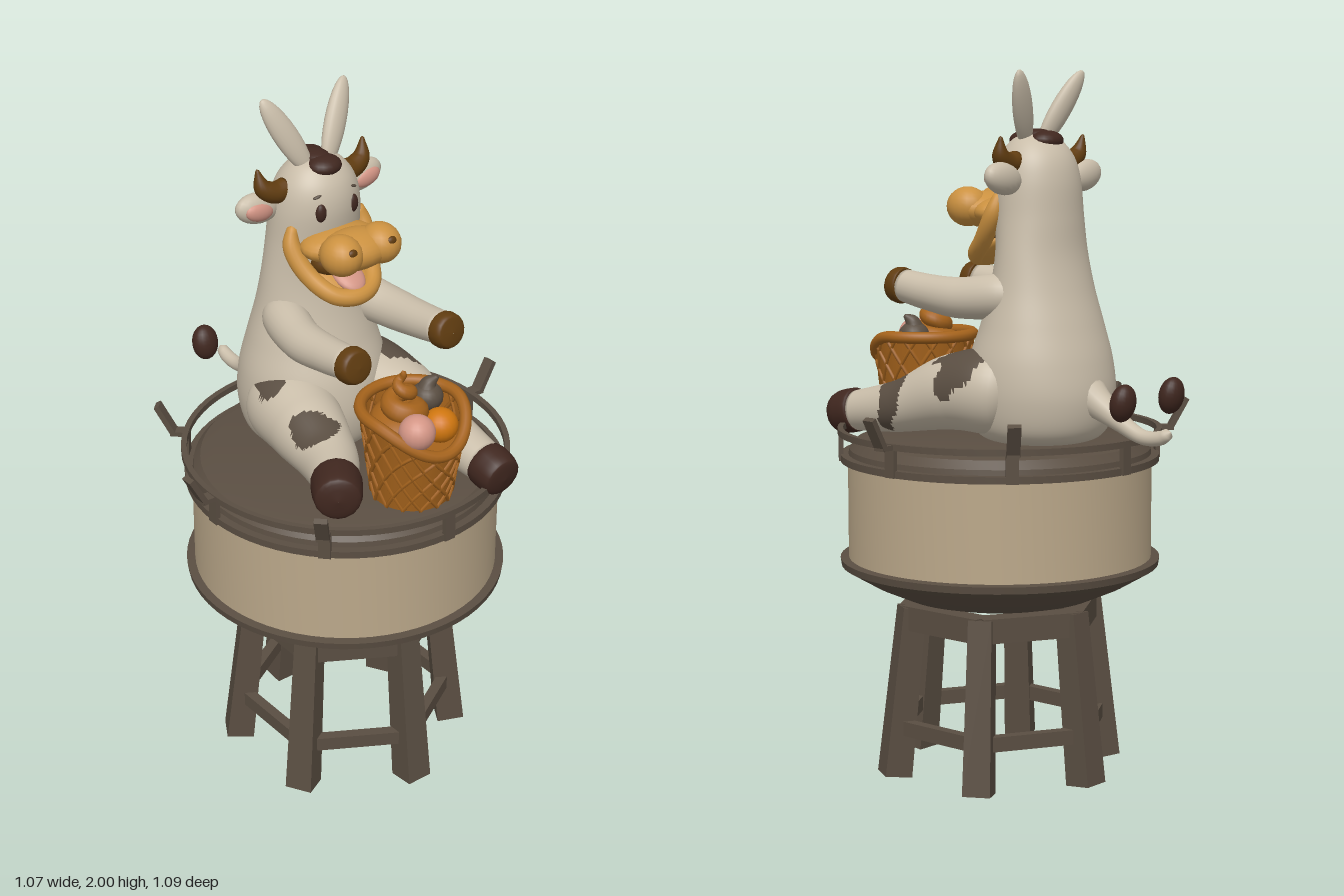
import * as THREE from 'three';
import { mergeVertices, toCreasedNormals } from 'three/addons/utils/BufferGeometryUtils.js';

const V = (x, y, z) => new THREE.Vector3(x, y, z);
const mat = (name, color, side = THREE.FrontSide) => {
  const m = new THREE.MeshStandardMaterial({ color, side });
  m.name = name;
  return m;
};

export function createModel() {
  const root = new THREE.Group();
  const hide = mat('cream hide', 0xc9bda9), drumCream = mat('drum cream', 0xbba88a);
  const dark = mat('dark grey brown', 0x5a4e42), hoof = mat('hoof brown', 0x40271f);
  const horn = mat('horn brown', 0x603c10), tan = mat('muzzle tan', 0xcb9140);
  const waffle = mat('waffle', 0xa5631c, THREE.DoubleSide), pink = mat('pink', 0xd39585);
  const orange = mat('orange', 0xcf760f);

  const add = (name, geo, m, parent = root) => {
    const mesh = new THREE.Mesh(geo, m);
    mesh.name = name;
    parent.add(mesh);
    return mesh;
  };
  const smooth = (g) => {
    g.deleteAttribute('uv');
    g.deleteAttribute('normal');
    const out = mergeVertices(g, 1e-5);
    out.computeVertexNormals();
    return out;
  };
  const lathe = (pts) => toCreasedNormals(
    new THREE.LatheGeometry(pts.map((p) => new THREE.Vector2(p[0], p[1])), 64), 0.5);
  const ball = (name, m, p, s) => {
    const b = add(name, new THREE.SphereGeometry(1, 20, 14), m);
    b.position.set(...p);
    b.scale.set(...s);
    return b;
  };
  // Tube through [x, y, z, radius] points, with closed ends
  const limb = (pts, seg = 28, sides = 18) => {
    const curve = new THREE.CatmullRomCurve3(pts.map((p) => V(p[0], p[1], p[2])));
    const radius = new THREE.CatmullRomCurve3(pts.map((p) => V(p[3], 0, 0)), false, 'catmullrom', 0.4);
    const g = new THREE.TubeGeometry(curve, seg, 1, sides);
    const pos = g.attributes.position, v = V(0, 0, 0);
    for (let i = 0; i <= seg; i++) {
      const u = i / seg, c = curve.getPointAt(u);
      let r = Math.max(0.002, radius.getPoint(curve.getUtoTmapping(u)).x);
      if (i === 0 || i === seg) r = 0.0005;
      for (let j = 0; j <= sides; j++) {
        const k = i * (sides + 1) + j;
        v.fromBufferAttribute(pos, k).sub(c).multiplyScalar(r).add(c);
        pos.setXYZ(k, v.x, v.y, v.z);
      }
    }
    return smooth(g);
  };
  // Hide patches: ellipsoids [x, y, z, rx, ry, rz] that mark the faces inside them
  const patches = [
    [-0.24, 1.17, 0.13, 0.08, 0.1, 0.12], [-0.04, 1.23, 0.2, 0.085, 0.045, 0.1],
    [-0.14, 1.53, 0.13, 0.03, 0.06, 0.1], [-0.03, 1.45, 0.14, 0.06, 0.035, 0.08],
    [0.2, 1.17, 0.22, 0.06, 0.035, 0.1], [-0.13, 1.41, -0.15, 0.06, 0.085, 0.09],
    [0.03, 1.18, -0.2, 0.085, 0.1, 0.09], [0.27, 1.1, -0.22, 0.05, 0.1, 0.08],
    [-0.21, 1.24, -0.16, 0.04, 0.05, 0.08],
  ];
  const inPatch = (x, y, z) => patches.some((p) => {
    const d = Math.hypot((x - p[0]) / p[3], (y - p[1]) / p[4], (z - p[2]) / p[5]);
    return d < 1 + 0.16 * Math.sin(45 * x + 38 * y) + 0.1 * Math.sin(60 * y - 50 * x);
  });
  const paint = (name, g) => {
    const idx = g.index.array, pos = g.attributes.position, plain = [], spotted = [];
    for (let i = 0; i < idx.length; i += 3) {
      const t = [idx[i], idx[i + 1], idx[i + 2]];
      const mid = (f) => t.reduce((s, k) => s + pos[f](k), 0) / 3;
      (inPatch(mid('getX'), mid('getY'), mid('getZ')) ? spotted : plain).push(...t);
    }
    g.setIndex([...plain, ...spotted]);
    g.addGroup(0, plain.length, 0);
    if (spotted.length) g.addGroup(plain.length, spotted.length, 1);
    add(name, g, [hide, dark]);
  };

  // Stool and drum share one axis
  const stand = new THREE.Group();
  stand.name = 'stand';
  stand.position.x = 0.073;
  root.add(stand);
  for (let k = 0; k < 6; k++) {
    const spoke = new THREE.Group(), side = new THREE.Group();
    spoke.name = 'stoolLeg';
    side.name = 'stoolSide';
    spoke.rotation.y = k * Math.PI / 3;
    side.rotation.y = (k + 0.5) * Math.PI / 3;
    stand.add(spoke, side);
    const g = new THREE.CylinderGeometry(0.047, 0.056, 0.49, 4).rotateY(Math.PI / 4).toNonIndexed();
    g.computeVertexNormals();
    const leg = add('leg', g, dark, spoke);
    leg.position.set(0.293, 0.248, 0);
    leg.rotation.z = 0.11;
    add('topRail', new THREE.BoxGeometry(0.06, 0.07, 0.28), dark, side).position.set(0.235, 0.463, 0);
    add('stretcher', new THREE.BoxGeometry(0.03, 0.042, 0.31), dark, side).position.set(0.268, 0.145, 0);
  }
  add('bowl', lathe([[0, 0.5], [0.22, 0.5], [0.28, 0.515], [0.37, 0.555], [0.455, 0.605], [0.458, 0.625], [0.43, 0.628]]), dark, stand);
  add('drumWall', lathe([[0.434, 0.62], [0.434, 0.915]]), drumCream, stand);
  add('lowerRing', lathe([[0.43, 0.905], [0.455, 0.905], [0.455, 0.925], [0.43, 0.925]]), dark, stand);
  add('lid', lathe([[0.435, 0.91], [0.43, 0.94], [0.41, 0.963], [0.37, 0.973], [0, 0.978]]), dark, stand);
  add('upperRing', lathe([[0.447, 0.982], [0.463, 0.982], [0.463, 1], [0.447, 1], [0.447, 0.982]]), dark, stand);
  for (let k = 0; k < 8; k++) {
    const g = new THREE.Group();
    g.name = 'bracket';
    g.rotation.y = -k * Math.PI / 4;
    stand.add(g);
    add('post', new THREE.BoxGeometry(0.014, 0.09, 0.034), dark, g).position.set(0.453, 0.95, 0);
    if (k === 0 || k === 4 || k === 7) continue;
    add('stem', new THREE.BoxGeometry(0.05, 0.014, 0.034), dark, g).position.set(0.475, 0.99, 0);
    const prong = add('prong', new THREE.BoxGeometry(0.016, 0.1, 0.036), dark, g);
    prong.position.set(0.512, 1.03, 0);
    prong.rotation.z = -0.5;
  }

  // Body and head: oval sections [y, centre x, half depth, half width]
  const secs = [
    [0.972, -0.08, 0.002, 0.002], [0.975, -0.08, 0.13, 0.13], [1.01, -0.08, 0.185, 0.19], [1.1, -0.08, 0.207, 0.215],
    [1.2, -0.08, 0.195, 0.213], [1.3, -0.085, 0.162, 0.19], [1.4, -0.085, 0.132, 0.166], [1.5, -0.082, 0.113, 0.15],
    [1.6, -0.075, 0.113, 0.137], [1.7, -0.067, 0.115, 0.128], [1.765, -0.064, 0.1, 0.11], [1.81, -0.062, 0.066, 0.075],
    [1.828, -0.06, 0.03, 0.035], [1.832, -0.06, 0.002, 0.002],
  ];
  const depth = new THREE.CatmullRomCurve3(secs.map((s) => V(s[1], s[0], s[2])), false, 'catmullrom');
  const width = new THREE.CatmullRomCurve3(secs.map((s) => V(s[3], s[0], 0)), false, 'catmullrom');
  const body = new THREE.CylinderGeometry(1, 1, 1, 96, 104, true);
  const bp = body.attributes.position;
  for (let i = 0; i < bp.count; i++) {
    const t = THREE.MathUtils.clamp(bp.getY(i) + 0.5, 0, 1), d = depth.getPoint(t), w = width.getPoint(t);
    bp.setXYZ(i, d.x + bp.getX(i) * Math.max(0.001, d.z), d.y, bp.getZ(i) * Math.max(0.001, w.x));
  }
  paint('body', smooth(body));

  // Legs and hooves: left one turned out, right one straight and lower
  paint('leftLeg', limb([[-0.1, 1.11, 0.1, 0.05], [-0.04, 1.12, 0.12, 0.12], [0.1, 1.11, 0.155, 0.108],
    [0.24, 1.09, 0.19, 0.082], [0.36, 1.1, 0.255, 0.062]], 64, 40));
  add('leftHoof', limb([[0.34, 1.1, 0.242, 0.03], [0.346, 1.1, 0.246, 0.066], [0.39, 1.1, 0.276, 0.069],
    [0.43, 1.1, 0.304, 0.06], [0.441, 1.1, 0.312, 0.02]]), hoof);
  paint('rightLeg', limb([[-0.1, 1.11, -0.1, 0.05], [-0.04, 1.12, -0.13, 0.12], [0.1, 1.11, -0.16, 0.108],
    [0.27, 1.06, -0.19, 0.076], [0.45, 1.03, -0.197, 0.058]], 64, 40));
  add('rightHoof', limb([[0.436, 1.035, -0.197, 0.03], [0.442, 1.034, -0.197, 0.062], [0.485, 1.025, -0.197, 0.064],
    [0.518, 1.018, -0.197, 0.055], [0.528, 1.016, -0.197, 0.02]]), hoof);

  // Mirrored parts of the animal
  for (const s of [1, -1]) {
    const n = s > 0 ? 'left' : 'right';
    add(n + 'Arm', limb([[-0.1, 1.39, s * 0.1, 0.04], [-0.04, 1.385, s * 0.125, 0.062], [0.08, 1.375, s * 0.155, 0.058],
      [0.2, 1.385, s * 0.16, 0.051], [0.3, 1.4, s * 0.16, 0.046]], 36, 24), hide);
    add(n + 'Hand', limb([[0.285, 1.397, s * 0.16, 0.03], [0.29, 1.397, s * 0.16, 0.05], [0.315, 1.4, s * 0.16, 0.051],
      [0.332, 1.402, s * 0.16, 0.042], [0.338, 1.403, s * 0.16, 0.01]]), horn);
    add(n + 'Horn', limb([[-0.07, 1.755, s * 0.09, 0.03], [-0.07, 1.75, s * 0.13, 0.03], [-0.075, 1.77, s * 0.165, 0.025],
      [-0.085, 1.825, s * 0.178, 0.004]]), horn);
    const tall = ball(n + 'TallEar', hide, [-0.082, 1.895, s * 0.082], [0.023, 0.125, 0.035]);
    tall.rotation.set(s * 0.48, 0, 0.27);
    const ear = ball(n + 'SideEar', hide, [-0.09, 1.71, s * 0.175], [0.032, 0.044, 0.07]);
    ear.rotation.x = s * -0.2;
    const inner = ball(n + 'InnerEar', pink, [-0.07, 1.708, s * 0.182], [0.018, 0.027, 0.045]);
    inner.rotation.x = s * -0.2;
    ball(n + 'Eye', hoof, [0.031, 1.705, s * 0.053], [0.014, 0.027, 0.017]);
    const brow = ball(n + 'Brow', dark, [0.022, 1.752, s * 0.055], [0.008, 0.005, 0.018]);
    brow.rotation.x = s * 0.3;
    ball(n + 'NoseBulge', tan, [0.135, 1.624, s * 0.065], [0.062, 0.056, 0.057]);
    ball(n + 'Nostril', horn, [0.183, 1.646, s * 0.066], [0.01, 0.014, 0.016]);
    ball(n + 'TailTuft', hoof, [-0.455, 1.12, s * 0.108], [0.033, 0.052, 0.04]).rotation.z = 0.2;
  }
  // Hair tuft
  ball('hairBack', hoof, [-0.1, 1.81, 0], [0.042, 0.028, 0.053]);
  ball('hairFront', hoof, [-0.025, 1.81, 0], [0.045, 0.028, 0.05]);
  ball('hairTop', hoof, [-0.062, 1.825, 0], [0.05, 0.018, 0.035]);

  // Muzzle, smiling lower lip and mouth
  ball('muzzle', tan, [0.11, 1.615, 0], [0.078, 0.053, 0.11]);
  ball('muzzleBridge', tan, [0.04, 1.61, 0], [0.08, 0.046, 0.118]);
  add('lowerLip', limb([[-0.02, 1.67, 0.11, 0.012], [-0.008, 1.61, 0.122, 0.025], [0.04, 1.54, 0.105, 0.026],
    [0.105, 1.49, 0.062, 0.025], [0.127, 1.48, 0, 0.025], [0.105, 1.49, -0.062, 0.025], [0.04, 1.54, -0.105, 0.026],
    [-0.008, 1.61, -0.122, 0.025], [-0.02, 1.67, -0.11, 0.012]], 56, 16), tan);
  ball('jaw', tan, [0.06, 1.51, 0], [0.09, 0.026, 0.09]).rotation.z = -0.6;
  ball('mouthInside', horn, [0.03, 1.555, 0], [0.06, 0.045, 0.08]);
  ball('tongue', pink, [0.08, 1.525, 0], [0.06, 0.02, 0.045]).rotation.z = -0.5;

  // Tail
  add('tail', limb([[-0.24, 1.12, 0, 0.06], [-0.3, 1.085, 0, 0.04], [-0.37, 1.045, 0, 0.026], [-0.44, 1.015, 0, 0.021],
    [-0.5, 1.018, 0, 0.02], [-0.535, 1.038, 0, 0.014]]), hide);

  // Waffle basket with a dipped front rim
  const basket = new THREE.Group();
  basket.name = 'waffleBasket';
  basket.position.x = 0.365;
  root.add(basket);
  const rimY = (a) => 1.245 - 0.085 * Math.max(0, Math.cos(a)) ** 2;
  const wall = (a, t, off = 0) => {
    const r = 0.108 + 0.034 * t + off;
    return V(Math.cos(a) * r, 0.98 + t * (rimY(a) - 0.98), Math.sin(a) * r);
  };
  const bowl = new THREE.CylinderGeometry(1, 1, 1, 48, 6, true), wp = bowl.attributes.position;
  for (let i = 0; i < wp.count; i++) {
    const p = wall(Math.atan2(wp.getZ(i), wp.getX(i)), wp.getY(i) + 0.5);
    wp.setXYZ(i, p.x, p.y, p.z);
  }
  add('wall', smooth(bowl), waffle, basket);
  for (let k = 0; k < 14; k++) for (const d of [1, -1]) {
    const pts = [...Array(9)].map((_, i) => wall(k * Math.PI / 7 + d * i * 0.16, i / 8, 0.001));
    add('waffleRib', new THREE.TubeGeometry(new THREE.CatmullRomCurve3(pts), 12, 0.006, 5), waffle, basket);
  }
  const rim = [...Array(32)].map((_, i) => wall(i * Math.PI / 16, 1));
  add('rim', new THREE.TubeGeometry(new THREE.CatmullRomCurve3(rim, true), 72, 0.017, 10, true), waffle, basket);
  add('filling', new THREE.CylinderGeometry(0.128, 0.12, 0.02, 40), waffle, basket).position.y = 1.14;

  // Scoops and swirl
  const swirl = [...Array(22)].map((_, i) => {
    const t = i / 21, a = t * 6 * Math.PI, r = 0.055 * (1 - t);
    return [0.36 + r * Math.cos(a), 1.19 + 0.175 * t, 0.035 + r * Math.sin(a), 0.04 * (1 - t) + 0.006];
  });
  add('swirl', limb(swirl, 90, 12), waffle);
  ball('pinkScoop', pink, [0.458, 1.23, 0.062], [0.05, 0.05, 0.05]);
  ball('orangeScoop', orange, [0.42, 1.195, -0.05], [0.05, 0.048, 0.05]);
  ball('greyScoop', dark, [0.345, 1.245, -0.065], [0.045, 0.04, 0.045]);
  add('greyTip', limb([[0.345, 1.26, -0.065, 0.034], [0.347, 1.285, -0.072, 0.022], [0.36, 1.305, -0.09, 0.005]]), dark);
  return root;
}
